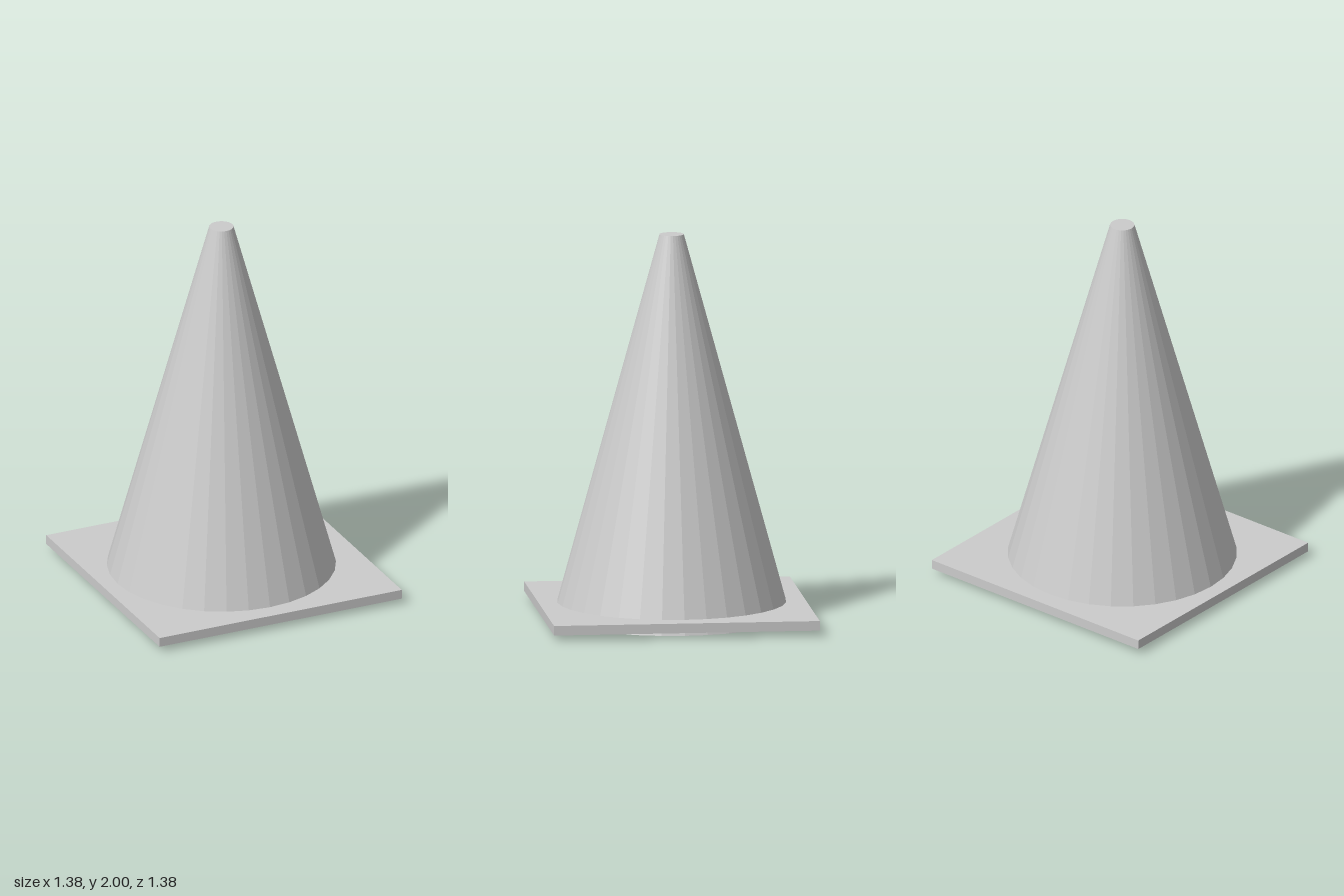
import * as THREE from 'three';

const BOTTOM_R = 0.614, TOP_R = 0.063, HEIGHT = 2, SIDES = 32;
const radiusAt = (y) => THREE.MathUtils.lerp(BOTTOM_R, TOP_R, y / HEIGHT);

export function createModel() {
  const model = new THREE.Group();
  const grey = new THREE.MeshStandardMaterial({ color: 0xcccccc, flatShading: true });
  const white = new THREE.MeshStandardMaterial({ color: 0xffffff, flatShading: true });

  const add = (parent, name, geometry, material, y) => {
    const mesh = new THREE.Mesh(geometry, material);
    mesh.name = name;
    mesh.position.y = y;
    parent.add(mesh);
  };

  // Square foot plate
  add(model, 'basePlate', new THREE.BoxGeometry(1.38, 0.05, 1.38), grey, 0.055);

  // Tapered body, sitting slightly off the plate's centre
  const cone = new THREE.Group();
  cone.name = 'cone';
  cone.position.x = -0.015;
  model.add(cone);

  // Body sections alternate with flush reflective bands
  const levels = [0, 0.375, 0.5, 0.875, 1, 1.385, 1.5, HEIGHT];
  for (let i = 0; i < levels.length - 1; i++) {
    const y0 = levels[i], y1 = levels[i + 1], band = i % 2 === 1;
    const section = new THREE.CylinderGeometry(radiusAt(y1), radiusAt(y0), y1 - y0, SIDES, 1, true);
    add(cone, band ? 'reflectiveBand' : 'coneSection', section, band ? white : grey, (y0 + y1) / 2);
  }

  // Closed tip and underside
  const disc = (r, tilt) => new THREE.CircleGeometry(r, SIDES).rotateX(tilt);
  add(cone, 'tipCap', disc(TOP_R, -Math.PI / 2), grey, HEIGHT);
  add(cone, 'bottomCap', disc(BOTTOM_R, Math.PI / 2), grey, 0);

  return model;
}
